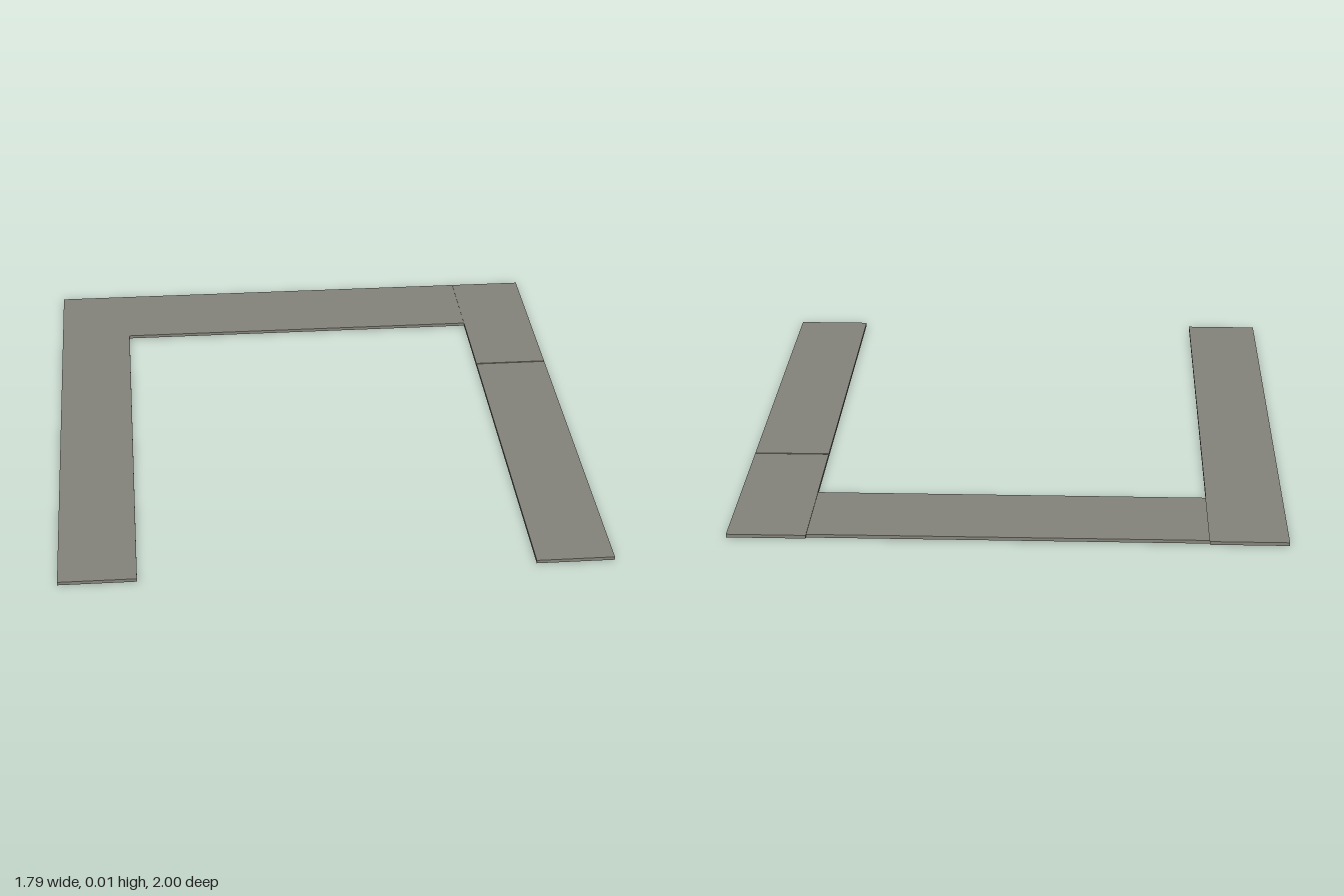
import * as THREE from 'three';

export function createModel() {
  const group = new THREE.Group();
  const stone = new THREE.MeshStandardMaterial({ color: 0x84847b });
  stone.name = 'grey stone';

  // Flat slab given by its extents on each axis
  function slab(name, [x0, x1], [y0, y1], [z0, z1]) {
    const mesh = new THREE.Mesh(new THREE.BoxGeometry(x1 - x0, y1 - y0, z1 - z0), stone);
    mesh.position.set((x0 + x1) / 2, (y0 + y1) / 2, (z0 + z1) / 2);
    mesh.name = name;
    group.add(mesh);
  }

  const low = [0, 0.011];
  // One long side path, and the opposite one laid in two pieces with a fine joint
  slab('rightPath', [-0.895, -0.643], low, [-1, 1]);
  slab('leftPathFront', [0.638, 0.892], low, [-0.336, 1]);
  slab('leftPathBack', [0.638, 0.892], low, [-1, -0.341]);
  // Back path joining the two sides, lying slightly higher
  slab('backPath', [-0.643, 0.637], [0.002, 0.013], [-0.996, -0.666]);

  return group;
}
